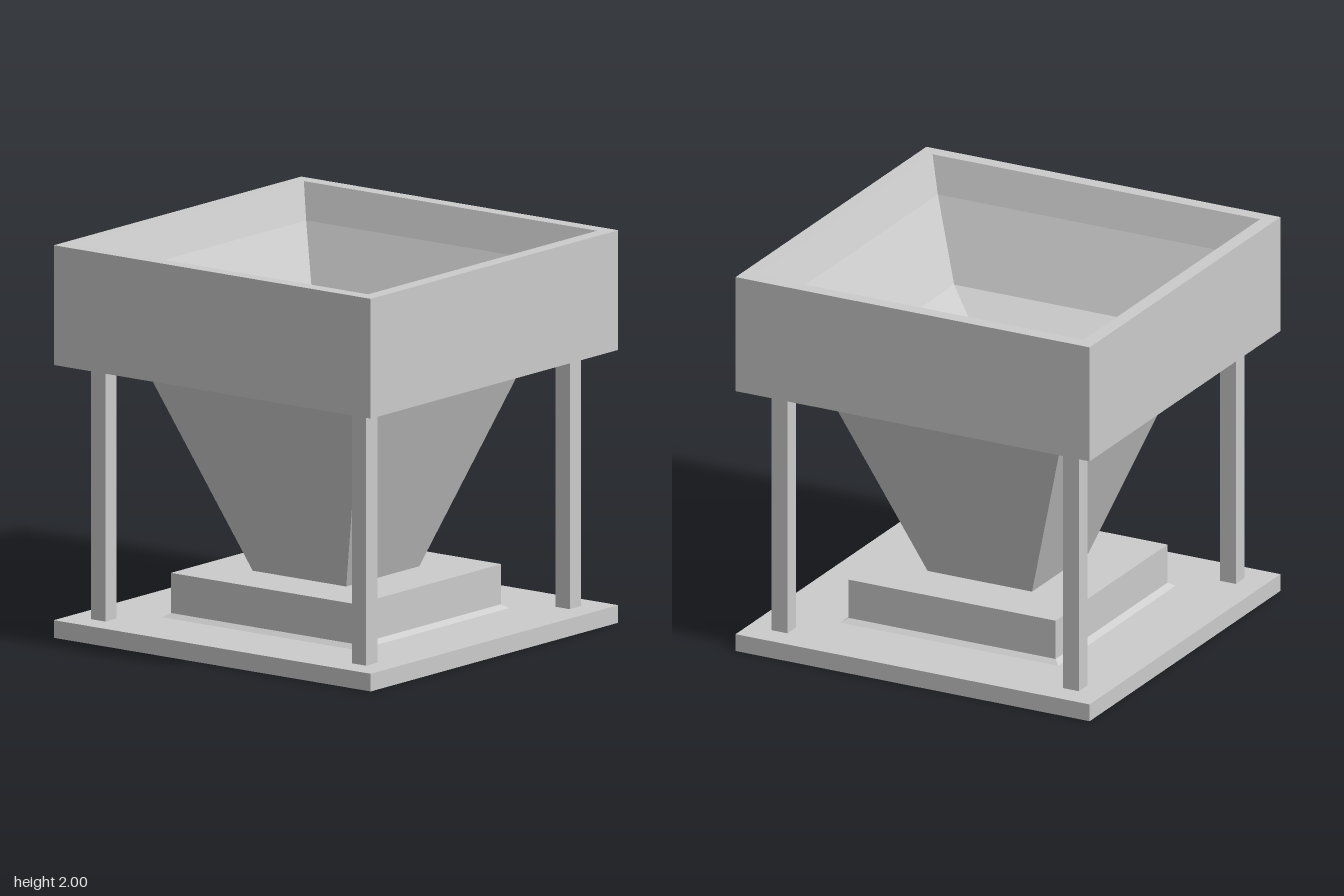
import * as THREE from 'three';

const material = new THREE.MeshStandardMaterial({ color: 0xcccccc, flatShading: true, side: THREE.DoubleSide });

function addMesh(group, name, geometry) {
  const mesh = new THREE.Mesh(geometry, material);
  mesh.name = name;
  group.add(mesh);
  return mesh;
}

// Square-plan solid swept from a [halfWidth, y] profile, listed from the underside round to the top
function squareLoft(profile) {
  const points = profile.map(([half, y]) => new THREE.Vector2(half * Math.SQRT2, y));
  const geometry = new THREE.LatheGeometry(points, 4, Math.PI / 4).toNonIndexed();
  geometry.computeVertexNormals();
  return geometry;
}

export function createModel() {
  const group = new THREE.Group();
  group.name = 'hopper';

  // Base slab with raised plinth and hollow underside
  addMesh(group, 'base', squareLoft([
    [0, 0.31], [0.29, 0.31], [0.66, 0.06], [1, 0], [1, 0.09],
    [0.585, 0.09], [0.585, 0.315], [0, 0.315],
  ]));

  // Tapered funnel between plinth and tray
  addMesh(group, 'funnel', squareLoft([[0.295, 0.315], [0.685, 1.39]]));

  // Open tray with sloping inner walls and a flat floor
  addMesh(group, 'tray', squareLoft([
    [0.6, 1.39], [1, 1.39], [1, 2], [0.925, 2],
    [0.86, 1.82], [0.66, 1.445], [0.37, 1.31], [0, 1.31],
  ]));

  // Four corner posts
  for (const x of [-1, 1]) {
    for (const z of [-1, 1]) {
      const post = addMesh(group, 'post', new THREE.BoxGeometry(0.09, 1.3, 0.09));
      post.position.set(x * 0.823, 0.74, z * 0.823);
    }
  }

  return group;
}
